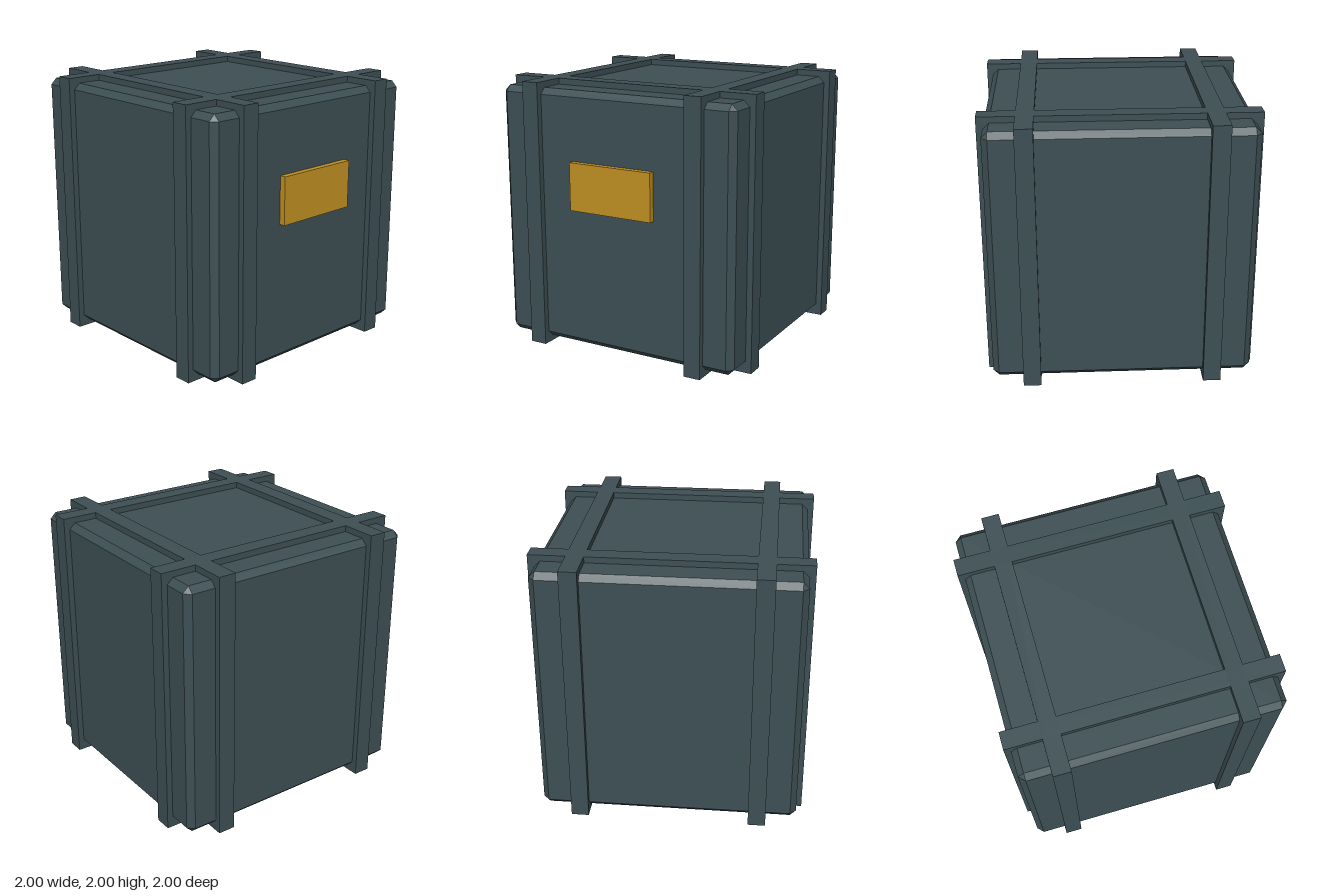
import * as THREE from 'three';
import { ConvexGeometry } from 'three/addons/geometries/ConvexGeometry.js';

const HALF = 0.955, BEVEL = 0.045, STRAP_AT = 0.665, STRAP_W = 0.13;

// Cube with every edge and corner chamfered
function chamferedCube(half, bevel) {
  const points = [], inner = half - bevel;
  for (const x of [-1, 1]) for (const y of [-1, 1]) for (const z of [-1, 1]) {
    points.push(
      new THREE.Vector3(x * half, y * inner, z * inner),
      new THREE.Vector3(x * inner, y * half, z * inner),
      new THREE.Vector3(x * inner, y * inner, z * half));
  }
  return new ConvexGeometry(points);
}

// Square hoop that wraps the crate, centred on its thickness
function strapGeometry() {
  const square = (shape, h) => shape.moveTo(-h, -h).lineTo(h, -h).lineTo(h, h).lineTo(-h, h).closePath();
  const shape = square(new THREE.Shape(), 1);
  shape.holes.push(square(new THREE.Path(), HALF - 0.03));
  return new THREE.ExtrudeGeometry(shape, { depth: STRAP_W, bevelEnabled: false })
    .translate(0, 0, -STRAP_W / 2);
}

export function createModel() {
  const model = new THREE.Group();
  model.name = 'crate';

  const slate = new THREE.MeshStandardMaterial({ color: 0x3d4f54 });
  slate.name = 'slate';
  const gold = new THREE.MeshStandardMaterial({ color: 0xc09022 });
  gold.name = 'gold';

  const add = (name, geometry, material, x, y, z) => {
    const mesh = new THREE.Mesh(geometry, material);
    mesh.name = name;
    mesh.position.set(x, y, z);
    model.add(mesh);
    return mesh;
  };

  // Crate body
  add('body', chamferedCube(HALF, BEVEL), slate, 0, 1, 0);

  // Two straps in each direction
  const strap = strapGeometry();
  for (const s of [1, -1]) {
    add(s > 0 ? 'frontStrap' : 'backStrap', strap, slate, 0, 1, s * STRAP_AT);
    add(s > 0 ? 'leftStrap' : 'rightStrap', strap, slate, s * STRAP_AT, 1, 0).rotation.y = Math.PI / 2;
  }

  // Plate on the front
  add('frontPlate', new THREE.BoxGeometry(0.67, 0.355, 0.07), gold, 0, 1.267, 0.965);

  return model;
}
